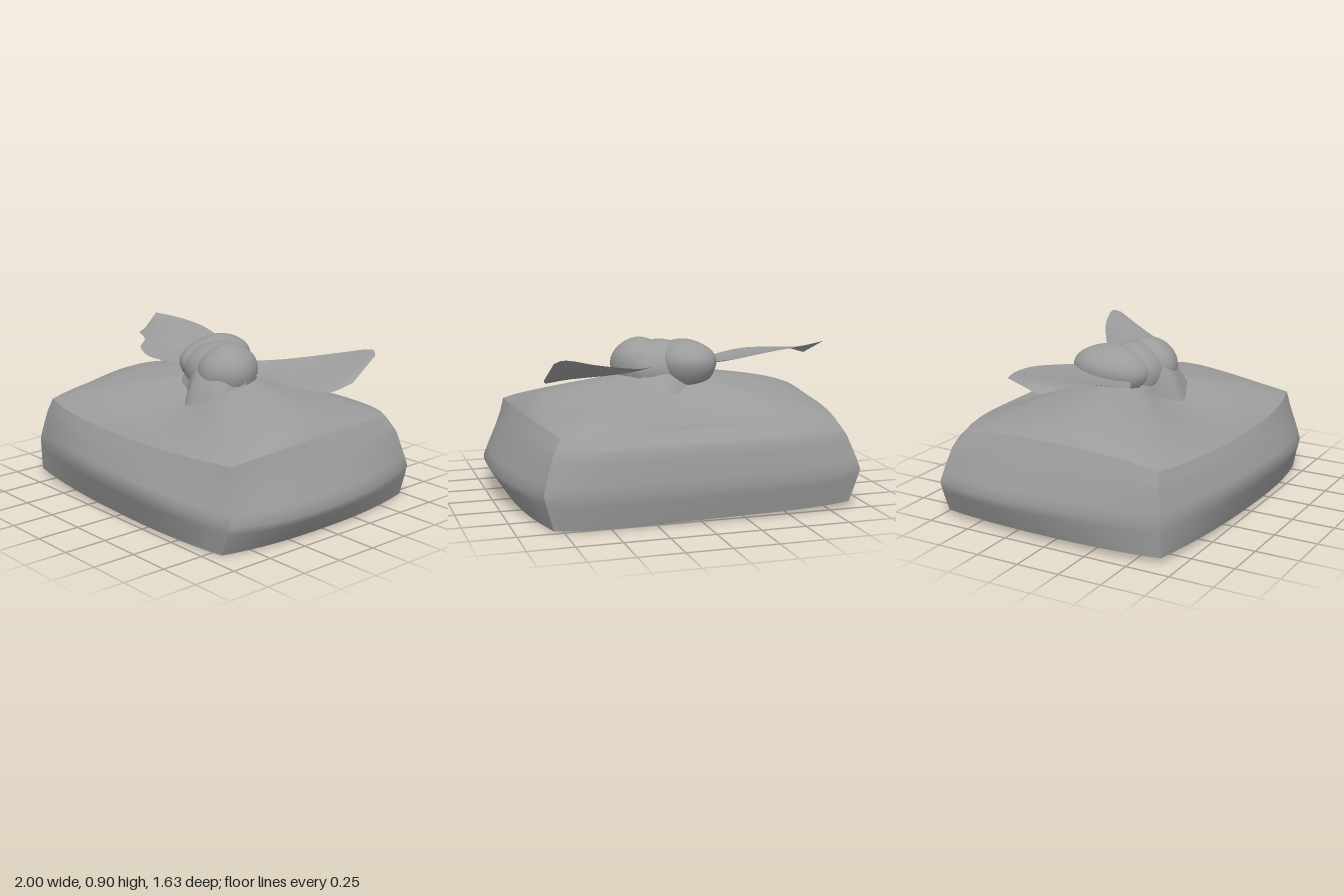
import * as THREE from 'three';
import { mergeVertices } from 'three/addons/utils/BufferGeometryUtils.js';

const material = new THREE.MeshStandardMaterial({ color: 0x9b9b9b });
const clothMaterial = new THREE.MeshStandardMaterial({ color: 0x9b9b9b, side: THREE.DoubleSide });
const V = (p) => new THREE.Vector3(...p);

// Smooth surface from a rule point(u, v), with u and v running 0..1
function surface(nu, nv, point) {
  const pos = [], idx = [];
  for (let j = 0; j <= nv; j++)
    for (let i = 0; i <= nu; i++) pos.push(...point(i / nu, j / nv).toArray());
  for (let j = 0; j < nv; j++)
    for (let i = 0; i < nu; i++) {
      const a = j * (nu + 1) + i, b = a + 1, c = a + nu + 1, d = c + 1;
      idx.push(a, b, d, a, d, c);
    }
  let g = new THREE.BufferGeometry();
  g.setAttribute('position', new THREE.Float32BufferAttribute(pos, 3));
  g.setIndex(idx);
  g = mergeVertices(g);
  g.computeVertexNormals();
  return g;
}

function add(group, name, geometry, mat = material) {
  const mesh = new THREE.Mesh(geometry, mat);
  mesh.name = name;
  group.add(mesh);
  return mesh;
}

// Rings of the parcel: corner, side middle, corner ... starting front at -x
const rings = [
  [[-0.88, 0.035, 0.64], [0, 0.025, 0.73], [0.81, 0.005, 0.665], [0.9, 0.015, 0],
   [0.8, 0.01, -0.72], [0, 0.02, -0.775], [-0.88, 0.035, -0.71], [-0.94, 0.04, 0]],
  [[-0.89, 0.23, 0.64], [0.05, 0.25, 0.815], [0.88, 0.18, 0.67], [1, 0.18, 0.05],
   [0.85, 0.2, -0.72], [0, 0.2, -0.815], [-0.94, 0.22, -0.72], [-1, 0.22, -0.1]],
  [[-0.85, 0.4, 0.61], [0, 0.4, 0.75], [0.84, 0.38, 0.62], [0.89, 0.4, 0],
   [0.79, 0.4, -0.68], [0, 0.42, -0.785], [-0.87, 0.41, -0.68], [-0.91, 0.42, 0]],
  [[-0.82, 0.48, 0.59], [0, 0.475, 0.71], [0.82, 0.475, 0.6], [0.83, 0.51, 0],
   [0.74, 0.485, -0.64], [0, 0.505, -0.71], [-0.82, 0.5, -0.62], [-0.85, 0.54, 0]],
].map((ring) => ring.map(V));
const rim = rings[3];
const fullness = [2.4, 2.4, 5, 2.4];

// Point on one bulging side of a ring
function sidePoint(ring, side, u) {
  const a = ring[side * 2], m = ring[side * 2 + 1], b = ring[(side * 2 + 2) % 8];
  const bulge = 1 - Math.abs(2 * u - 1) ** fullness[side];
  const middle = a.clone().lerp(b, 0.5);
  return a.clone().lerp(b, u).addScaledVector(m.clone().sub(middle), bulge);
}

function ringPoint(ring, u) {
  const k = (u % 1) * 4, side = Math.floor(k);
  return sidePoint(ring, side, k - side);
}

function buildParcel(group) {
  // Four walls, creased against each other, nearly straight between rings
  ['frontWall', 'leftWall', 'backWall', 'rightWall'].forEach((name, side) => {
    add(group, name, surface(16, 9, (u, v) =>
      new THREE.CatmullRomCurve3(rings.map((r) => sidePoint(r, side, u)), false, 'catmullrom', 0.12).getPoint(v)));
  });

  // Gathered cloth rising to the knot: full at the sides, hollow front and back
  const peak = V([0, 0.735, -0.06]);
  const power = [0.85, 1.8, 0.85, 0.48, 0.85, 1.6, 0.85, 0.48];
  add(group, 'gatheredTop', surface(64, 14, (u, v) => {
    const p = ringPoint(rim, u);
    const k = (u % 1) * 8, i = Math.floor(k), f = k - i;
    const e = THREE.MathUtils.lerp(power[i], power[(i + 1) % 8], f * f * (3 - 2 * f));
    const y = THREE.MathUtils.lerp(p.y, peak.y, v ** e);
    return p.lerp(peak, v).setY(y);
  }));

  // Underside, running the other way round to face down
  const centre = V([-0.03, 0.015, 0]);
  add(group, 'base', surface(64, 1, (u, v) => ringPoint(rings[0], 1 - u).lerp(centre, v)));
}

// Cloth strip lofted between two edge curves, bowed along its middle
function strip(group, name, edgeA, edgeB, bow) {
  const a = new THREE.CatmullRomCurve3(edgeA.map(V)), b = new THREE.CatmullRomCurve3(edgeB.map(V));
  add(group, name, surface(18, 8, (u, v) => {
    const p = a.getPoint(u).lerp(b.getPoint(u), v);
    p.y += bow * Math.sin(Math.PI * v) * Math.sin(Math.PI * Math.min(1, u + 0.1));
    return p;
  }), clothMaterial);
}

// Soft, slightly lumpy knot lobe
function lobe(group, name, centre, radii, turn, tilt) {
  const g = new THREE.SphereGeometry(1, 28, 20), p = g.attributes.position, v = new THREE.Vector3();
  for (let i = 0; i < p.count; i++) {
    v.fromBufferAttribute(p, i);
    v.multiplyScalar(1 + 0.04 * Math.sin(3 * v.x + 1) * Math.cos(3 * v.z) + 0.03 * Math.sin(4 * v.y));
    p.setXYZ(i, v.x, v.y, v.z);
  }
  g.scale(...radii);
  g.computeVertexNormals();
  const mesh = add(group, name, g);
  mesh.position.set(...centre);
  mesh.rotation.set(tilt, turn, 0);
}

export function createModel() {
  const model = new THREE.Group();
  model.name = 'wrappedParcel';

  const parcel = new THREE.Group();
  parcel.name = 'parcel';
  buildParcel(parcel);

  // Knot of two lobes fused over a full core
  const knot = new THREE.Group();
  knot.name = 'knot';
  lobe(knot, 'knotLobeRight', [-0.11, 0.75, -0.09], [0.175, 0.145, 0.235], 0.1, 0.1);
  lobe(knot, 'knotLobeLeft', [0.12, 0.735, 0.015], [0.17, 0.165, 0.175], 0.35, 0.15);
  lobe(knot, 'knotCore', [0.01, 0.71, -0.03], [0.225, 0.18, 0.2], 0, 0);

  // Two spread ends of the cloth
  const ends = new THREE.Group();
  ends.name = 'clothEnds';
  strip(ends, 'rightEnd',
    [[-0.12, 0.77, -0.22], [-0.32, 0.8, -0.32], [-0.55, 0.84, -0.35], [-0.74, 0.86, -0.33], [-0.9, 0.875, -0.27]],
    [[-0.1, 0.72, 0.02], [-0.28, 0.735, 0.12], [-0.4, 0.755, 0.18], [-0.52, 0.785, 0.15], [-0.59, 0.805, 0.06],
     [-0.75, 0.81, -0.02], [-0.84, 0.79, -0.12]], -0.02);
  strip(ends, 'leftEnd',
    [[0.06, 0.76, -0.15], [0.2, 0.77, -0.3], [0.35, 0.8, -0.41], [0.52, 0.84, -0.51], [0.7, 0.88, -0.56], [0.745, 0.86, -0.53]],
    [[0.12, 0.73, -0.02], [0.28, 0.725, -0.07], [0.45, 0.71, -0.11], [0.62, 0.7, -0.15], [0.72, 0.7, -0.21], [0.76, 0.74, -0.34]], -0.02);

  // Short flaps spilling from under the knot
  strip(ends, 'frontFlap',
    [[-0.19, 0.76, 0], [-0.06, 0.78, 0.1], [0.06, 0.79, 0.14], [0.2, 0.78, 0.1], [0.28, 0.75, 0]],
    [[-0.18, 0.62, 0.12], [-0.15, 0.615, 0.16], [-0.06, 0.61, 0.17], [-0.01, 0.59, 0.22], [0.06, 0.565, 0.28],
     [0.16, 0.575, 0.255], [0.26, 0.59, 0.225], [0.27, 0.6, 0.15], [0.29, 0.66, 0.05]], 0.035);
  strip(ends, 'backFlap',
    [[-0.15, 0.75, -0.16], [0.03, 0.77, -0.16], [0.16, 0.75, -0.1]],
    [[-0.15, 0.62, -0.22], [-0.03, 0.595, -0.3], [0.06, 0.595, -0.33], [0.17, 0.61, -0.31]], 0.02);

  model.add(parcel, knot, ends);
  return model;
}
